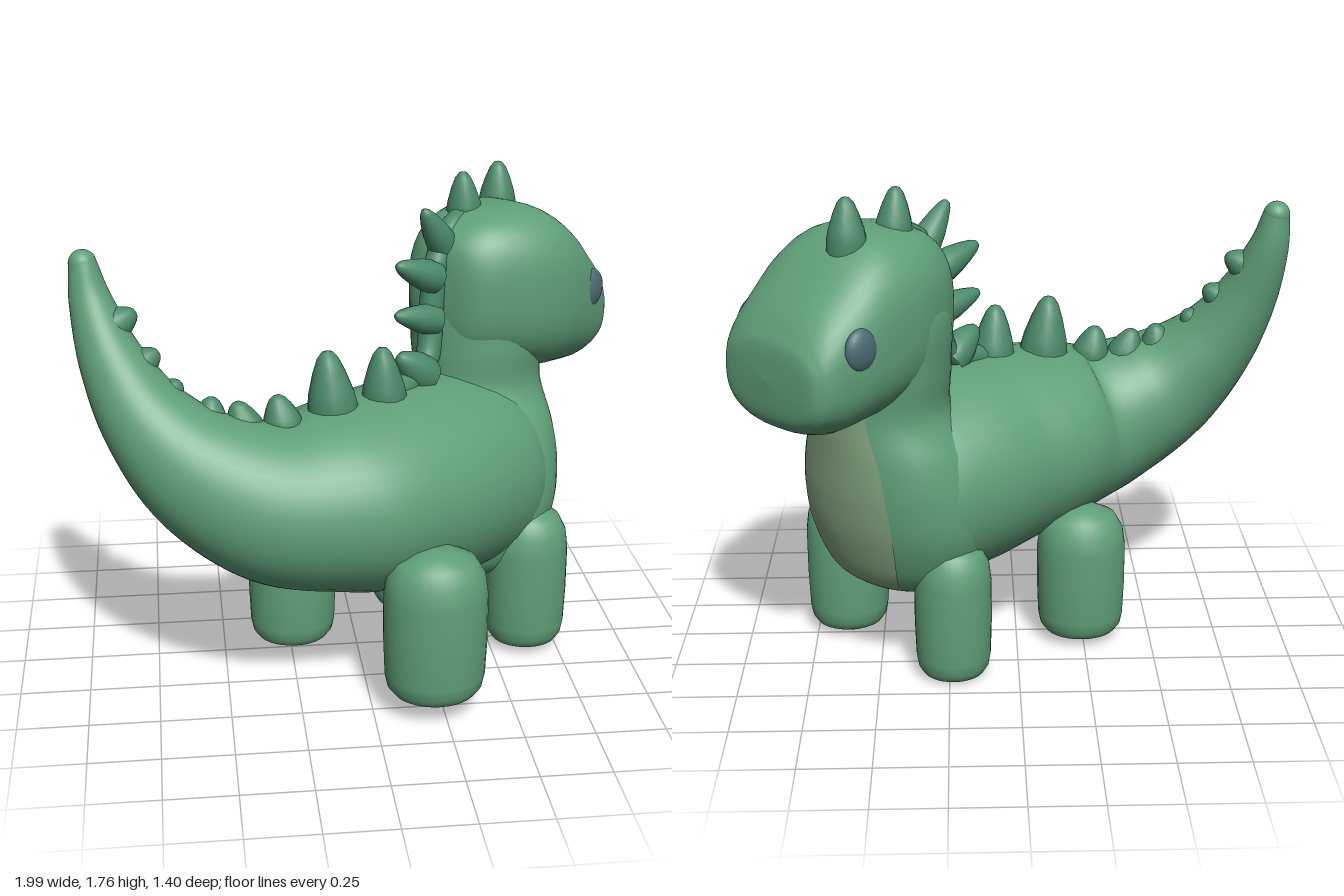
import * as THREE from 'three';

const V = (x, y, z) => new THREE.Vector3(x, y, z);
const GREEN = new THREE.MeshStandardMaterial({ color: 0x5f9f78 });
const DARK = new THREE.MeshStandardMaterial({ color: 0x4a8a69 });
const CHEST = new THREE.MeshStandardMaterial({ color: 0x83a47f, side: THREE.DoubleSide });
const EYE = new THREE.MeshStandardMaterial({ color: 0x4c6b74 });

// Smooth skin over rings [x, y, z, halfWidth, halfHeight]; power > 2 squares the section,
// axis keeps every ring facing one way instead of along the path.
function loft(rings, up, { axis, power = 2, from = 0, to = Math.PI * 2, grow = 0, steps = 72, sides = 40 } = {}) {
  const path = new THREE.CatmullRomCurve3(rings.map(r => V(r[0], r[1], r[2])), false, 'catmullrom', 0.5);
  const size = new THREE.CatmullRomCurve3(rings.map(r => V(r[3], r[4], 0)), false, 'catmullrom', 0.5);
  const closed = to - from > 6.28, cols = closed ? sides : sides + 1;
  const soft = v => Math.sign(v) * Math.abs(v) ** (2 / power);
  const pos = [], index = [];
  for (let i = 0; i <= steps; i++) {
    const c = path.getPoint(i / steps), s = size.getPoint(i / steps), t = axis ?? path.getTangent(i / steps);
    const side = t.clone().cross(up).normalize(), top = side.clone().cross(t).normalize();
    for (let j = 0; j < cols; j++) {
      const a = from + (to - from) * j / sides;
      const p = c.clone()
        .addScaledVector(side, (Math.max(s.x, 0.001) + grow) * soft(Math.cos(a)))
        .addScaledVector(top, (Math.max(s.y, 0.001) + grow) * soft(Math.sin(a)));
      pos.push(p.x, p.y, p.z);
    }
  }
  for (let i = 0; i < steps; i++) for (let j = 0; j < sides; j++) {
    const k = (j + 1) % cols, a = i * cols + j, b = a + cols, c = i * cols + k, d = c + cols;
    index.push(a, b, c, b, d, c);
  }
  const g = new THREE.BufferGeometry();
  g.setAttribute('position', new THREE.Float32BufferAttribute(pos, 3));
  g.setIndex(index);
  g.computeVertexNormals();
  return g;
}

export function createModel() {
  const model = new THREE.Group();
  const add = (name, geometry, material = GREEN) => {
    const m = new THREE.Mesh(geometry, material);
    m.name = name;
    model.add(m);
    return m;
  };

  // Torso running back into the raised, curling tail
  add('bodyAndTail', loft([
    [0.63, 0.66, -0.33, 0, 0],
    [0.58, 0.66, -0.28, 0.22, 0.24],
    [0.46, 0.66, -0.18, 0.355, 0.355],
    [0.28, 0.69, -0.03, 0.40, 0.38],
    [0.10, 0.71, 0.12, 0.40, 0.37],
    [-0.10, 0.73, 0.24, 0.385, 0.34],
    [-0.33, 0.76, 0.33, 0.295, 0.29],
    [-0.57, 0.88, 0.335, 0.22, 0.23],
    [-0.745, 1.05, 0.29, 0.165, 0.165],
    [-0.86, 1.25, 0.23, 0.115, 0.115],
    [-0.925, 1.45, 0.17, 0.075, 0.075],
    [-0.947, 1.585, 0.15, 0.048, 0.048],
  ], V(0, 1, 0), { steps: 96 }));
  add('tailTip', new THREE.SphereGeometry(0.0485, 24, 16)).position.set(-0.947, 1.582, 0.15);

  // Chest and neck, with a paler strip down the front
  const neck = [
    [0.38, 0.28, -0.10, 0, 0],
    [0.385, 0.30, -0.105, 0.17, 0.15],
    [0.40, 0.38, -0.12, 0.29, 0.25],
    [0.42, 0.54, -0.145, 0.36, 0.285],
    [0.44, 0.70, -0.17, 0.36, 0.285],
    [0.455, 0.85, -0.195, 0.32, 0.27],
    [0.475, 1.00, -0.23, 0.24, 0.245],
    [0.475, 1.16, -0.24, 0.245, 0.245],
    [0.47, 1.34, -0.25, 0.245, 0.235],
    [0.48, 1.48, -0.26, 0.20, 0.18],
  ];
  const forward = V(1, 0, -1).normalize(), upright = V(0, 1, 0);
  add('neck', loft(neck, forward, { axis: upright }));
  add('chestStrip', loft(neck.slice(1, 8), forward, { axis: upright, from: 0.95, to: 2.19, grow: 0.004 }), CHEST);

  // Head, placed by forward distance, height and sideways distance
  const headPoint = (f, y, l) => [(0.2 + l + f) * Math.SQRT1_2, y, (0.2 + l - f) * Math.SQRT1_2];
  const headRings = [
    [0.265, 1.36, -0.03, 0, 0],
    [0.275, 1.36, -0.03, 0.10, 0.14],
    [0.31, 1.36, -0.03, 0.17, 0.215],
    [0.39, 1.365, -0.022, 0.23, 0.265],
    [0.51, 1.355, -0.008, 0.282, 0.30],
    [0.63, 1.335, 0, 0.302, 0.315],
    [0.74, 1.30, 0, 0.30, 0.295],
    [0.84, 1.25, 0, 0.285, 0.255],
    [0.91, 1.22, 0, 0.27, 0.21],
    [0.955, 1.20, 0, 0.245, 0.165],
    [0.98, 1.195, 0, 0.19, 0.115],
    [0.99, 1.195, 0, 0, 0],
  ].map(([f, y, l, w, h]) => [...headPoint(f, y, l), w, h]);
  add('head', loft(headRings, upright, { axis: forward, power: 2.6 }));

  for (const s of [1, -1]) {
    const eye = add(s > 0 ? 'rightEye' : 'leftEye', new THREE.SphereGeometry(0.068, 20, 14), EYE);
    eye.position.set(...headPoint(0.805, 1.32, s * 0.272));
    eye.rotation.y = Math.PI / 4;
    eye.scale.set(1, 1.1, 0.5);
  }

  // Stubby legs with rounded soles: x, z, sole height, radius along x, radius along z, top
  const legs = {
    backLeftLeg: [-0.24, -0.05, 0.035, 0.163, 0.15, 0.54],
    backRightLeg: [0.215, 0.53, 0.08, 0.183, 0.165, 0.64],
    frontRightLeg: [0.632, 0.06, 0.03, 0.152, 0.142, 0.58],
    frontLeftLeg: [0.235, -0.335, 0.01, 0.138, 0.138, 0.53],
  };
  const legProfile = [[0, 0], [0.62, 0.005], [0.8, 0.03], [0.92, 0.08], [0.97, 0.16], [1, 0.4], [1, 0.7],
    [0.94, 0.83], [0.76, 0.93], [0.4, 0.985], [0, 1]].map(p => new THREE.Vector2(...p));
  for (const [name, [x, z, y, rx, rz, top]] of Object.entries(legs)) {
    const leg = add(name, new THREE.LatheGeometry(legProfile, 32));
    leg.position.set(x, y, z);
    leg.scale.set(rx, top - y, rz);
  }

  // Ridge joining the spikes down the back of the head
  const ridge = [[0.45, 1.62, -0.27], [0.36, 1.585, -0.16], [0.295, 1.47, -0.085], [0.275, 1.30, -0.06],
    [0.25, 1.13, -0.01], [0.08, 1.05, 0.15]].map(p => V(...p));
  add('neckRidge', new THREE.TubeGeometry(new THREE.CatmullRomCurve3(ridge), 32, 0.045, 12), DARK);

  // Blunt spikes: base point, tip point, radius
  const spikeProfile = [[1, -0.3], [1, 0], [0.9, 0.25], [0.66, 0.6], [0.42, 0.86], [0.22, 0.97], [0, 1]]
    .map(p => new THREE.Vector2(...p));
  const spike = (name, base, tip, radius) => {
    const a = V(...base), d = V(...tip).sub(a);
    const m = add(name, new THREE.LatheGeometry(spikeProfile, 14), DARK);
    m.position.copy(a);
    m.scale.set(radius, d.length(), radius);
    m.quaternion.setFromUnitVectors(V(0, 1, 0), d.normalize());
  };
  [
    [[0.57, 1.63, -0.39], [0.57, 1.775, -0.39], 0.068],
    [[0.42, 1.63, -0.24], [0.41, 1.775, -0.23], 0.066],
    [[0.31, 1.56, -0.10], [0.24, 1.685, -0.04], 0.055],
    [[0.25, 1.45, -0.03], [0.135, 1.51, 0.05], 0.058],
    [[0.25, 1.29, -0.02], [0.13, 1.33, 0.06], 0.055],
    [[0.22, 1.11, 0.03], [0.14, 1.19, 0.09], 0.07],
    [[0.08, 1.07, 0.15], [0.07, 1.25, 0.16], 0.08],
    [[-0.11, 1.06, 0.22], [-0.13, 1.265, 0.22], 0.09],
    [[-0.29, 1.03, 0.28], [-0.31, 1.13, 0.275], 0.07],
    [[-0.42, 1.02, 0.29], [-0.45, 1.115, 0.285], 0.068],
    [[-0.54, 1.05, 0.29], [-0.53, 1.135, 0.28], 0.065],
    [[-0.69, 1.13, 0.27], [-0.635, 1.19, 0.265], 0.065],
    [[-0.775, 1.24, 0.24], [-0.705, 1.29, 0.235], 0.065],
    [[-0.845, 1.38, 0.20], [-0.775, 1.42, 0.195], 0.062],
  ].forEach(([base, tip, r], i) => spike('backSpike' + (i + 1), base, tip, r));

  // Small point under the belly
  spike('bellyPoint', [0.17, 0.36, 0.07], [0.17, 0.16, 0.07], 0.09);

  return model;
}
